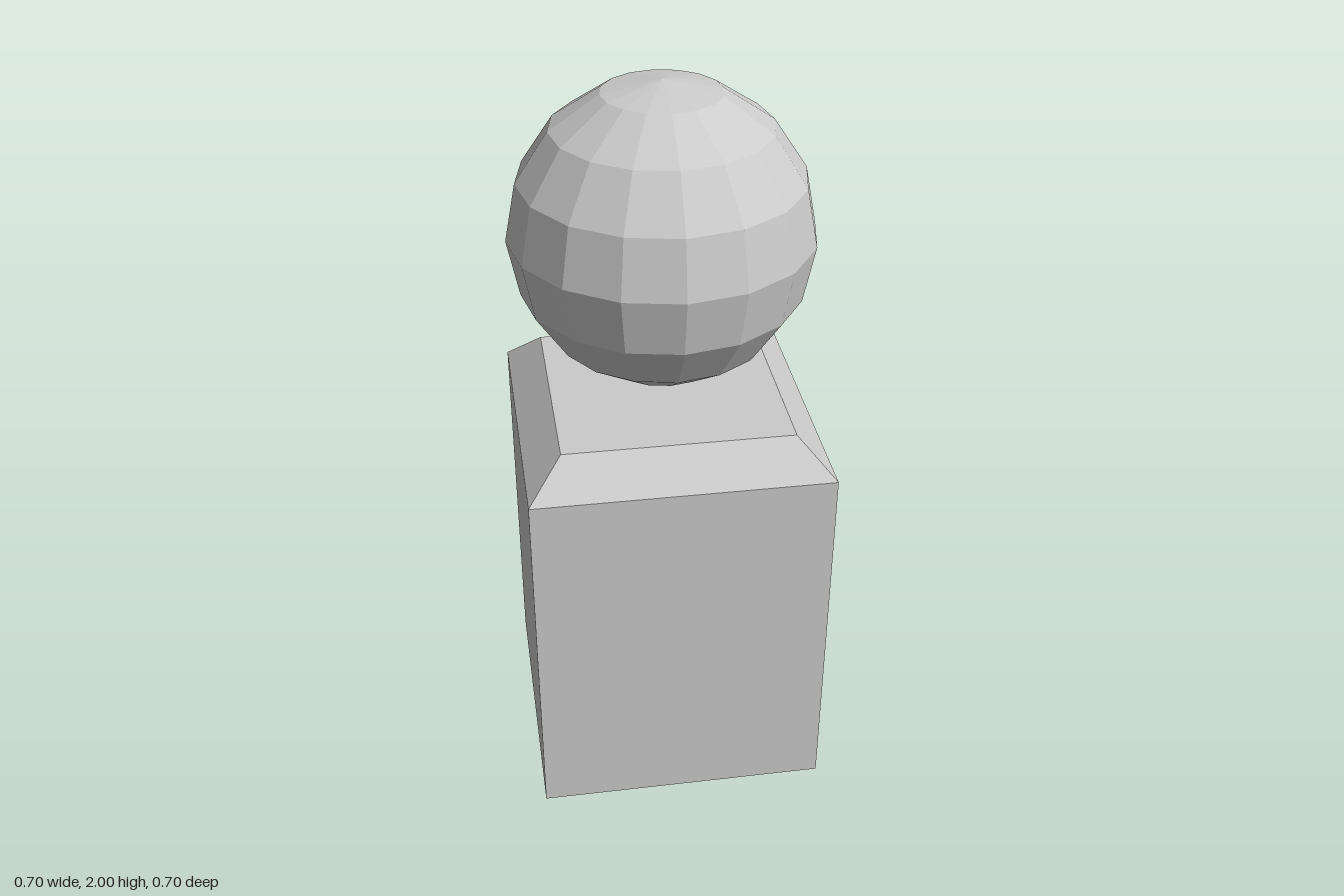
import * as THREE from 'three';

const material = new THREE.MeshStandardMaterial({ color: 0xcccccc, flatShading: true });

function addPart(group, name, geometry) {
  const flat = geometry.toNonIndexed();
  flat.computeVertexNormals();
  const mesh = new THREE.Mesh(flat, material);
  mesh.name = name;
  group.add(mesh);
  return mesh;
}

export function createModel() {
  const group = new THREE.Group();
  group.name = 'figure';

  // Square body: tapered foot, straight trunk, bevelled shoulders.
  // Each pair is [half width, height]; the lathe radius is the corner distance.
  const profile = [[0, 0], [0.087, 0], [0.35, 0.265], [0.35, 1.17], [0.268, 1.253], [0, 1.253]]
    .map(([half, y]) => new THREE.Vector2(half * Math.SQRT2, y));
  addPart(group, 'body', new THREE.LatheGeometry(profile, 4, Math.PI / 4));

  // Faceted head floating just above the shoulders
  addPart(group, 'head', new THREE.SphereGeometry(0.35, 16, 8)).position.y = 1.65;

  return group;
}
